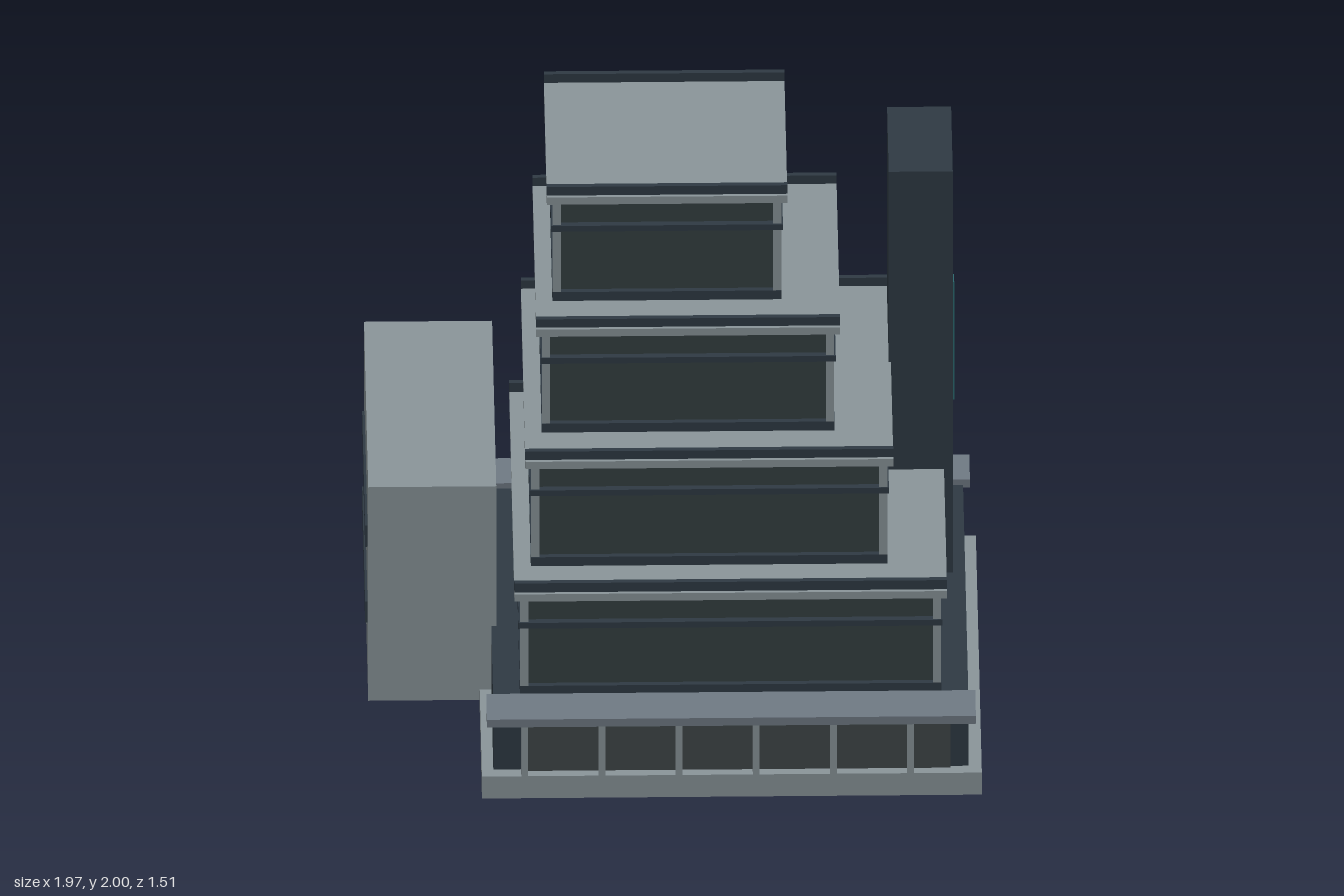
import * as THREE from 'three';

const mat = (color) => new THREE.MeshStandardMaterial({ color });

export function createModel() {
  const model = new THREE.Group();
  model.name = 'terracedBuilding';
  const concrete = mat(0x8a9599), canopyGrey = mat(0x6f7a84), navy = mat(0x2f3a44);
  const glass = mat(0x354042), lobbyGlass = mat(0x404748), teal = mat(0x2c6a70);

  // Box given by its extents on each axis
  function box(parent, name, material, [x0, x1], [y0, y1], [z0, z1]) {
    const mesh = new THREE.Mesh(new THREE.BoxGeometry(x1 - x0, y1 - y0, z1 - z0), material);
    mesh.position.set((x0 + x1) / 2, (y0 + y1) / 2, (z0 + z1) / 2);
    mesh.name = name;
    parent.add(mesh);
  }

  // Plinth and ground floor
  const ground = new THREE.Group();
  ground.name = 'groundFloor';
  model.add(ground);
  box(ground, 'plinth', concrete, [-0.62, 0.98], [0, 0.085], [-0.67, 0.685]);
  box(ground, 'groundWalls', navy, [-0.583, 0.938], [0.08, 0.33], [-0.625, 0.645]);
  box(ground, 'frontGlazing', lobbyGlass, [-0.495, 0.88], [0.085, 0.32], [0.63, 0.655]);
  box(ground, 'backGlazing', lobbyGlass, [-0.495, 0.88], [0.085, 0.32], [-0.635, -0.61]);
  box(ground, 'frontCanopy', canopyGrey, [-0.605, 0.96], [0.32, 0.35], [0.605, 0.753]);
  box(ground, 'backCanopy', canopyGrey, [-0.605, 0.96], [0.32, 0.35], [-0.74, -0.597]);
  for (let i = 0; i < 6; i++) {
    const x = -0.483 + i * 0.247;
    box(ground, 'frontColumn', concrete, [x - 0.011, x + 0.011], [0.05, 0.32], [0.64, 0.69]);
    box(ground, 'backColumn', concrete, [x - 0.011, x + 0.011], [0.05, 0.32], [-0.673, -0.62]);
  }

  // Stepped storeys: x and z are the roof slab extents, y0 floor, y1 slab top
  const tiers = [
    { x: [-0.515, 0.87], z: [-0.583, 0.6], y0: 0.33, y1: 0.73, rail: 0.765 },
    { x: [-0.478, 0.7], z: [-0.56, 0.457], y0: 0.73, y1: 1.145, rail: 1.177 },
    { x: [-0.441, 0.532], z: [-0.54, 0.308], y0: 1.145, y1: 1.555, rail: 1.587 },
    { x: [-0.405, 0.365], z: [-0.52, 0.163], y0: 1.555, y1: 1.967, rail: 2 },
  ];
  const inset = ([a, b], d) => [a + d, b - d];
  tiers.forEach(({ x, z, y0, y1, rail }, i) => {
    const tier = new THREE.Group();
    tier.name = 'tier' + (i + 1);
    model.add(tier);
    const slabY = y1 - 0.028;
    box(tier, 'glazedWalls', glass, inset(x, 0.035), [y0, slabY], inset(z, 0.035));
    box(tier, 'baseStrip', navy, inset(x, 0.018), [y0, y0 + 0.034], inset(z, 0.018));
    box(tier, 'wallBand', navy, inset(x, 0.014), [y1 - 0.142, y1 - 0.12], inset(z, 0.014));
    box(tier, 'roofSlab', concrete, x, [slabY, y1], z);
    // Corner posts
    for (const px of [x[0] + 0.032, x[1] - 0.032])
      for (const pz of [z[0] + 0.032, z[1] - 0.032])
        box(tier, 'cornerPost', concrete, [px - 0.013, px + 0.013], [y0, slabY], [pz - 0.013, pz + 0.013]);
    // Parapets along front and back
    box(tier, 'frontParapet', navy, x, [y1, rail], [z[1] - 0.028, z[1] - 0.011]);
    box(tier, 'backParapet', navy, x, [y1, rail], [z[0] + 0.011, z[0] + 0.028]);
  });

  // Stair tower with slit window
  box(model, 'stairTower', navy, [0.693, 0.898], [0.33, 1.88], [-0.467, -0.097]);
  box(model, 'towerSlitWindow', teal, [0.89, 0.905], [0.89, 1.345], [-0.302, -0.256]);

  // Side annex with two ribbon windows
  box(model, 'annex', concrete, [-0.977, -0.567], [0.045, 0.87], [-0.757, 0.188]);
  for (const y of [0.29, 0.583])
    box(model, 'annexWindow', navy, [-0.985, -0.96], [y - 0.041, y + 0.041], [-0.612, 0.043]);

  return model;
}
